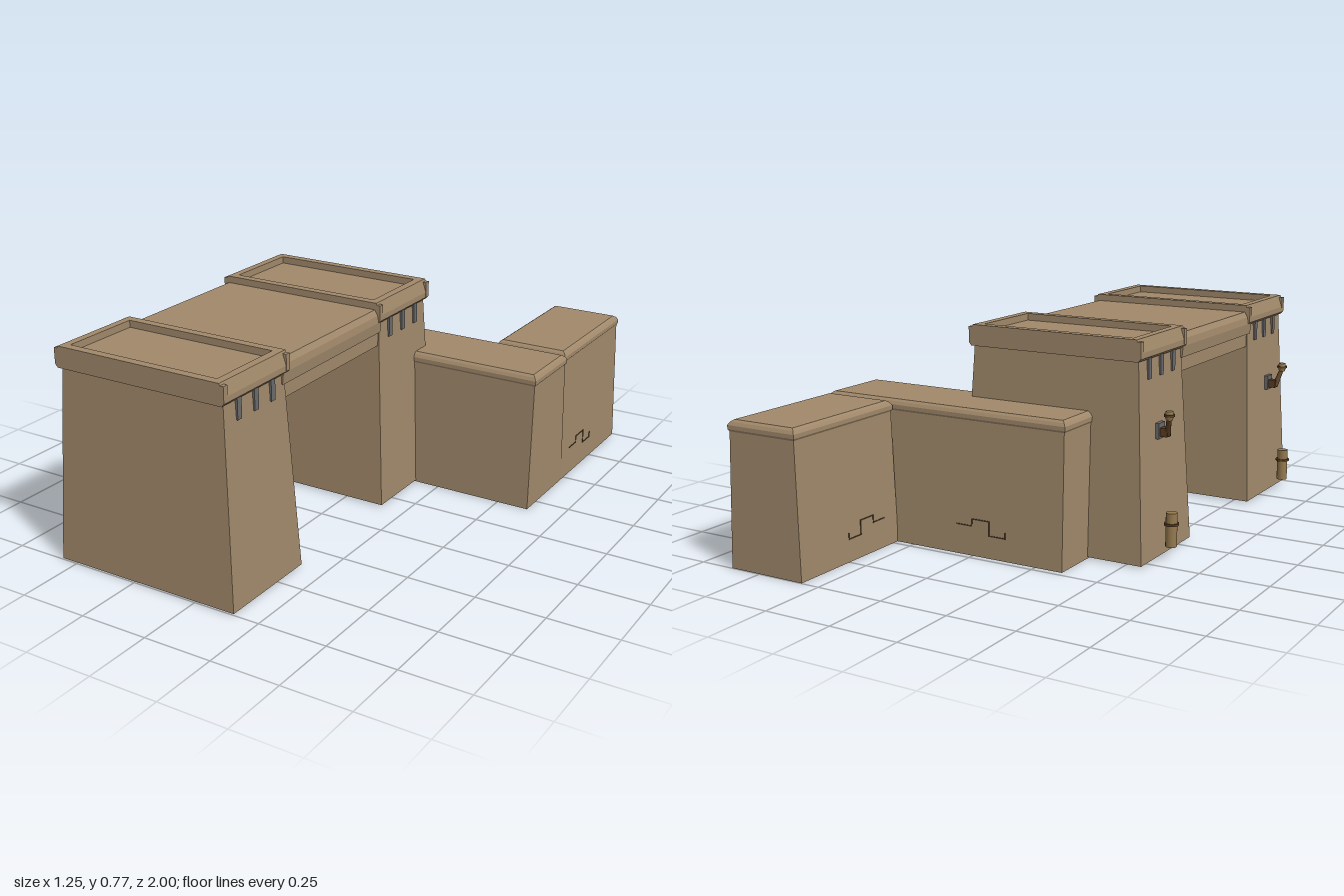
import * as THREE from 'three';

const mat = (name, color) => {
  const m = new THREE.MeshStandardMaterial({ color });
  m.name = name;
  return m;
};

// Stack of rectangles [y, x0, x1, z0, z1], closed at both ends, flat faces
function loft(rings) {
  const pos = [];
  const corners = ([y, x0, x1, z0, z1]) => [[x0, y, z1], [x1, y, z1], [x1, y, z0], [x0, y, z0]];
  const quad = (a, b, c, d) => pos.push(...a, ...b, ...c, ...a, ...c, ...d);
  const r = rings.map(corners);
  for (let i = 0; i < r.length - 1; i++) {
    for (let k = 0; k < 4; k++) {
      const n = (k + 1) % 4;
      quad(r[i][k], r[i][n], r[i + 1][n], r[i + 1][k]);
    }
  }
  quad(r[0][3], r[0][2], r[0][1], r[0][0]);
  quad(...r[r.length - 1]);
  const g = new THREE.BufferGeometry();
  g.setAttribute('position', new THREE.Float32BufferAttribute(pos, 3));
  g.computeVertexNormals();
  return g;
}

export function createModel() {
  const root = new THREE.Group();
  root.name = 'gatehouse';
  const stone = mat('sandstone', 0xa0886a);
  const slate = mat('slate', 0x6a6a6c);
  const brown = mat('dark brown', 0x5a3d20);
  const tan = mat('lamp tan', 0x94794f);
  const dark = mat('crack brown', 0x4a3c2a);

  const add = (parent, name, geometry, material, x = 0, y = 0, z = 0) => {
    const m = new THREE.Mesh(geometry, material);
    m.name = name;
    m.position.set(x, y, z);
    parent.add(m);
    return m;
  };
  const box = (w, h, d) => new THREE.BoxGeometry(w, h, d);
  const cyl = (r0, r1, h, n = 12) => new THREE.CylinderGeometry(r0, r1, h, n);

  // Tapered tower with a moulded cap, recessed roof and pegs
  function tower(name, zc, lampZ, bracketZ) {
    const g = new THREE.Group();
    g.name = name;
    root.add(g);
    add(g, 'towerBody', loft([
      [0.005, -0.56, 0.155, zc - 0.193, zc + 0.193],
      [0.72, -0.522, 0.118, zc - 0.16, zc + 0.16],
    ]), stone);
    const d = 0.176;
    add(g, 'towerCap', loft([
      [0.695, -0.528, 0.124, zc - d, zc + d],
      [0.705, -0.538, 0.133, zc - d, zc + d],
      [0.725, -0.538, 0.133, zc - d, zc + d],
      [0.77, -0.523, 0.118, zc - d, zc + d],
      [0.77, -0.495, 0.088, zc - 0.145, zc + 0.145],
      [0.745, -0.495, 0.088, zc - 0.145, zc + 0.145],
    ]), stone);
    // Corner tabs on the moulding
    for (const x of [-0.532, 0.127]) {
      for (const s of [-1, 1]) add(g, 'capCorner', box(0.014, 0.055, 0.02), stone, x, 0.735, zc + s * 0.166);
      for (const dz of [-0.09, 0, 0.09]) add(g, 'peg', box(0.016, 0.075, 0.022), slate, x < 0 ? -0.524 : 0.12, 0.664, zc + dz);
    }
    // Wall lamp on its bracket
    const lamp = new THREE.Group();
    lamp.name = 'wallLamp';
    g.add(lamp);
    add(lamp, 'lampPlate', box(0.014, 0.055, 0.045), slate, -0.543, 0.442, bracketZ);
    add(lamp, 'lampBracket', box(0.03, 0.03, 0.03), brown, -0.562, 0.438, bracketZ);
    const a = new THREE.Vector3(-0.572, 0.428, bracketZ), b = new THREE.Vector3(-0.588, 0.492, lampZ);
    const arm = add(lamp, 'lampArm', cyl(0.009, 0.011, a.distanceTo(b), 8), brown);
    arm.position.copy(a).lerp(b, 0.5);
    arm.quaternion.setFromUnitVectors(new THREE.Vector3(0, 1, 0), b.clone().sub(a).normalize());
    add(lamp, 'lampBowl', cyl(0.016, 0.011, 0.018), tan, -0.589, 0.494, lampZ);
    add(lamp, 'lampRim', cyl(0.019, 0.019, 0.008), brown, -0.589, 0.503, lampZ);
    add(lamp, 'lampTop', cyl(0.013, 0.015, 0.012), tan, -0.589, 0.511, lampZ);
    // Small ringed post beside the wall
    add(g, 'post', cyl(0.02, 0.02, 0.12, 16), tan, -0.605, 0.107, lampZ);
    add(g, 'postRing', cyl(0.026, 0.026, 0.008, 16), brown, -0.605, 0.127, lampZ);
  }
  tower('frontTower', 0.807, 0.86, 0.835);
  tower('backTower', -0.108, -0.165, -0.14);

  // Bridge between the towers
  add(root, 'bridgeBeam', box(0.64, 0.06, 0.64), stone, -0.202, 0.64, 0.35);
  add(root, 'bridgeDeck', loft([
    [0.66, -0.53, 0.124, 0.05, 0.66],
    [0.70, -0.534, 0.128, 0.05, 0.66],
    [0.725, -0.53, 0.124, 0.05, 0.66],
    [0.745, -0.518, 0.112, 0.05, 0.66],
  ]), stone);

  // Low walls with a rounded coping
  function wall(name, base, top) {
    add(root, name, loft([[0, ...base], [0.485, ...top]]), stone);
    const grow = (y, e) => [y, top[0] - e, top[1] + e, top[2] - e, top[3] + e];
    add(root, name + 'Coping', loft([
      grow(0.472, 0), grow(0.48, 0.005), grow(0.494, 0.005), grow(0.505, -0.002), grow(0.512, -0.012),
    ]), stone);
  }
  wall('sideWall', [-0.355, 0.62, -0.477, -0.172], [-0.352, 0.618, -0.458, -0.193]);
  wall('rearWall', [0.32, 0.62, -0.998, -0.473], [0.335, 0.606, -0.993, -0.48]);

  // Stepped cracks: path of [along, y] corners, turned to lie on a wall face
  const path = [[0.1, 0.105], [0.04, 0.105], [0.04, 0.13], [-0.03, 0.13], [-0.03, 0.08], [-0.095, 0.08], [-0.095, 0.1]];
  function crack(x, z, turn, lean) {
    const g = new THREE.Group();
    g.name = 'wallCrack';
    g.position.set(x, 0, z);
    g.rotation.set(0, turn, 0);
    root.add(g);
    for (let i = 1; i < path.length; i++) {
      const [a0, y0] = path[i - 1], [a1, y1] = path[i];
      const y = (y0 + y1) / 2;
      add(g, 'crackStep', box(Math.abs(a1 - a0) + 0.004, Math.abs(y1 - y0) + 0.004, 0.004), dark, (a0 + a1) / 2, y, -lean * y);
    }
  }
  crack(0.62, -0.65, -Math.PI / 2, -0.029);
  crack(0.32, -0.65, -Math.PI / 2, 0.031);
  crack(-0.035, -0.477, 0, -0.039);

  return root;
}
